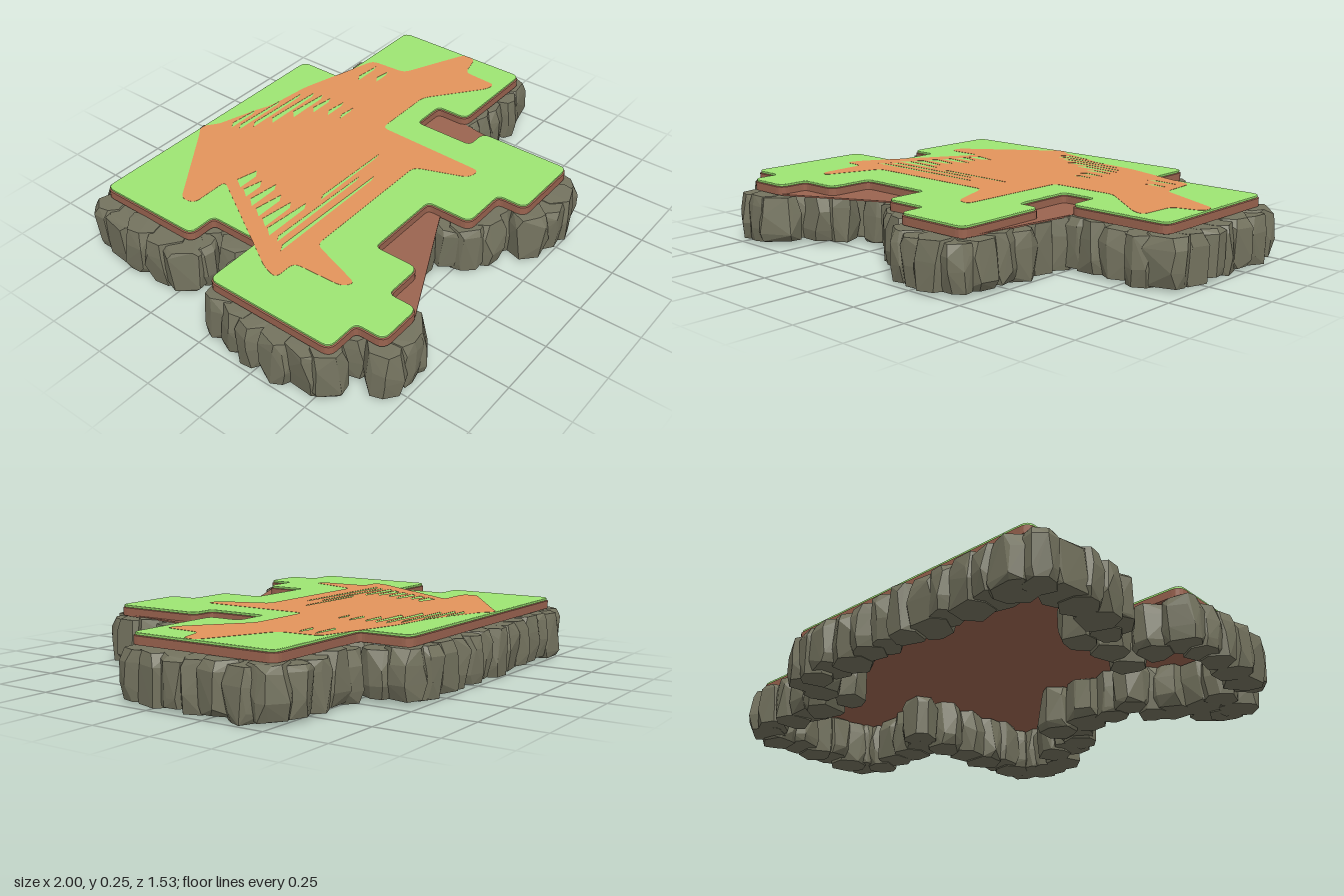
import * as THREE from 'three';
import { ConvexGeometry } from 'three/addons/geometries/ConvexGeometry.js';

// Ground outline as [x, z], starting at the back left corner
const OUTLINE = [
  [-0.77, -0.69], [0.41, -0.69], [0.41, -0.48], [0.91, -0.48], [0.91, 0.14], [0.49, 0.14],
  [0.49, 0], [0.33, 0], [0.33, 0.27], [0.43, 0.27], [0.43, 0.66], [0.12, 0.66],
  [0.12, 0.54], [-0.08, 0.54], [-0.08, 0.35], [-0.42, 0.35], [-0.42, 0.54], [-0.59, 0.54],
  [-0.59, 0.66], [-0.77, 0.66], [-0.77, 0.54], [-0.91, 0.54], [-0.91, 0], [-0.65, 0],
  [-0.65, -0.24], [-0.77, -0.24],
];

// Underside sheet: same outline, with the front and right notches bridged diagonally
const FLOOR = [
  ...OUTLINE.slice(0, 6), ...OUTLINE.slice(10, 14), [-0.08, 0.41], ...OUTLINE.slice(18),
];

// Boulder route: close to the outline, cutting across the narrow right notch
const ROUTE = [
  [-0.81, -0.68], [0.4, -0.68], [0.4, -0.47], [0.91, -0.47], [0.91, 0.12], [0.51, 0.12],
  [0.46, 0.06], [0.42, 0.28], [0.42, 0.68], [0.15, 0.68], [0.1, 0.55], [-0.07, 0.53],
  [-0.08, 0.37], [-0.42, 0.37], [-0.44, 0.48], [-0.62, 0.56], [-0.6, 0.67], [-0.77, 0.67],
  [-0.77, 0.54], [-0.91, 0.53], [-0.91, 0.02], [-0.67, 0], [-0.66, -0.23], [-0.81, -0.24],
];

const PATH = [
  [-0.25, -0.7], [-0.19, -0.65], [0.06, -0.57], [0.25, -0.55], [0.61, -0.45], [0.62, -0.28],
  [0.91, -0.15], [0.91, -0.09], [0.79, -0.06], [0.78, 0.1], [0.73, 0.09], [0.5, -0.09],
  [0.21, -0.09], [0.2, 0.4], [0.14, 0.39], [0.06, 0.18], [-0.54, 0.18], [-0.62, 0.42],
  [-0.66, 0.39], [-0.67, 0.18], [-0.77, 0.18], [-0.75, 0.11], [-0.47, -0.35], [-0.64, -0.35],
  [-0.65, -0.41], [-0.3, -0.66],
];

// Worn streaks where grass shows through the path: [x0, x1, z, thickness]
const STREAKS = [
  [-0.18, -0.02, -0.6, 0.02], [-0.17, 0.1, -0.565, 0.02], [-0.12, 0.2, -0.53, 0.02],
  [-0.05, 0.24, -0.49, 0.025], [0.04, 0.25, -0.45, 0.03], [0.12, 0.25, -0.405, 0.025],
  [0.14, 0.26, -0.34, 0.02], [0.15, 0.25, -0.28, 0.015], [0.44, 0.58, -0.41, 0.02],
  [0.48, 0.58, -0.34, 0.02], [-0.46, -0.34, -0.3, 0.045], [-0.49, -0.38, -0.24, 0.04],
  [-0.52, -0.36, -0.18, 0.035], [-0.55, -0.4, -0.12, 0.04], [-0.58, -0.41, -0.06, 0.04],
  [-0.61, -0.38, -0.01, 0.035], [-0.62, -0.12, 0.045, 0.018], [-0.65, -0.08, 0.09, 0.018],
  [-0.33, 0.05, 0.015, 0.014],
];

let seed = 7;
function rand(a, b) {
  seed = (seed * 16807) % 2147483647;
  return a + (b - a) * (seed / 2147483647);
}

// Closed shape with rounded corners; z is negated so it lies flat after rotation
function roundedShape(points, radius) {
  const pts = points.map(([x, z]) => new THREE.Vector2(x, -z));
  const shape = new THREE.Shape();
  pts.forEach((p, i) => {
    const prev = pts[(i + pts.length - 1) % pts.length];
    const next = pts[(i + 1) % pts.length];
    const toward = (q) => p.clone().lerp(q, Math.min(0.45, radius / p.distanceTo(q)));
    const a = toward(prev), b = toward(next);
    if (i === 0) shape.moveTo(a.x, a.y); else shape.lineTo(a.x, a.y);
    shape.quadraticCurveTo(p.x, p.y, b.x, b.y);
  });
  shape.closePath();
  return shape;
}

// Horizontal slab from y0 to y1 with a small bevelled rim
function slab(name, shape, y0, y1, color, rim = 0) {
  const bevel = rim ? 0.002 : 0;
  const geo = new THREE.ExtrudeGeometry(shape, {
    depth: y1 - y0 - 2 * bevel, curveSegments: 4, bevelEnabled: rim > 0,
    bevelThickness: bevel, bevelSize: rim, bevelSegments: 1,
  });
  geo.rotateX(-Math.PI / 2).translate(0, y0 + bevel, 0);
  const mesh = new THREE.Mesh(geo, new THREE.MeshStandardMaterial({ color }));
  mesh.name = name;
  return mesh;
}

// One chipped boulder: a convex hull over jittered rings
function rockGeometry(r) {
  const sides = 7, turn = rand(0, 1);
  const rings = [[rand(0.003, 0.02), 0.88], [rand(0.03, 0.1), 1], [rand(0.12, 0.18), 0.97], [rand(0.19, 0.205), 0.82]];
  const points = [];
  for (let i = 0; i < sides; i++) {
    const angle = ((i + turn + rand(-0.3, 0.3)) / sides) * Math.PI * 2;
    for (const [y, scale] of rings) {
      const a = angle + rand(-0.2, 0.2);
      const d = r * scale * rand(0.86, 1.08);
      points.push(new THREE.Vector3(Math.cos(a) * d, y + rand(-0.003, 0.003), Math.sin(a) * d));
    }
  }
  return new ConvexGeometry(points);
}

// Ring of boulders following the route, hollow inside
function rockRing() {
  const group = new THREE.Group();
  group.name = 'rockRing';
  const material = new THREE.MeshStandardMaterial({ color: 0x74735f, flatShading: true });
  const route = ROUTE.map(([x, z]) => new THREE.Vector2(x, z));
  const count = route.length;
  route.forEach((corner, i) => {
    const next = route[(i + 1) % count];
    const before = corner.clone().sub(route[(i + count - 1) % count]).normalize();
    const along = next.clone().sub(corner).normalize();
    const outward = new THREE.Vector2(along.y, -along.x);
    const n = Math.max(1, Math.round(corner.distanceTo(next) / 0.1));
    for (let k = 0; k < n; k++) {
      const r = rand(0.075, 0.1);
      const p = corner.clone().lerp(next, (k + (k ? rand(-0.15, 0.15) : 0)) / n);
      // larger boulders sit further in, so the rim stays even
      if (k) p.addScaledVector(outward, 0.084 - r + rand(-0.008, 0.008));
      // corner boulders sit back towards the ground
      else p.addScaledVector(along.clone().sub(before), 0.022 * Math.sign(before.cross(along)));
      const rock = new THREE.Mesh(rockGeometry(r), material);
      rock.name = 'rock';
      rock.position.set(p.x, 0, p.y);
      group.add(rock);
    }
  });
  return group;
}

export function createModel() {
  const model = new THREE.Group();
  model.name = 'rockyGround';

  const ground = roundedShape(OUTLINE, 0.03);
  model.add(rockRing());
  model.add(slab('dirtFloor', roundedShape(FLOOR, 0.015), 0.202, 0.208, 0x9b6450));
  model.add(slab('dirtLayer', ground, 0.202, 0.238, 0x9b6450, 0.008));
  model.add(slab('grassLayer', ground, 0.237, 0.248, 0x9ee573, 0.003));

  // Worn path with grass streaks cut out as slivers
  const path = roundedShape(PATH, 0.03);
  for (const [x0, x1, z, w] of STREAKS) {
    const h = new THREE.Path();
    h.moveTo(x0, -z - w / 2);
    h.lineTo(x1 - 0.03, -z - w / 2);
    h.lineTo(x1, -z);
    h.lineTo(x0 + 0.03, -z + w / 2);
    h.closePath();
    path.holes.push(h);
  }
  model.add(slab('path', path, 0.2475, 0.249, 0xe3945c));

  return model;
}
